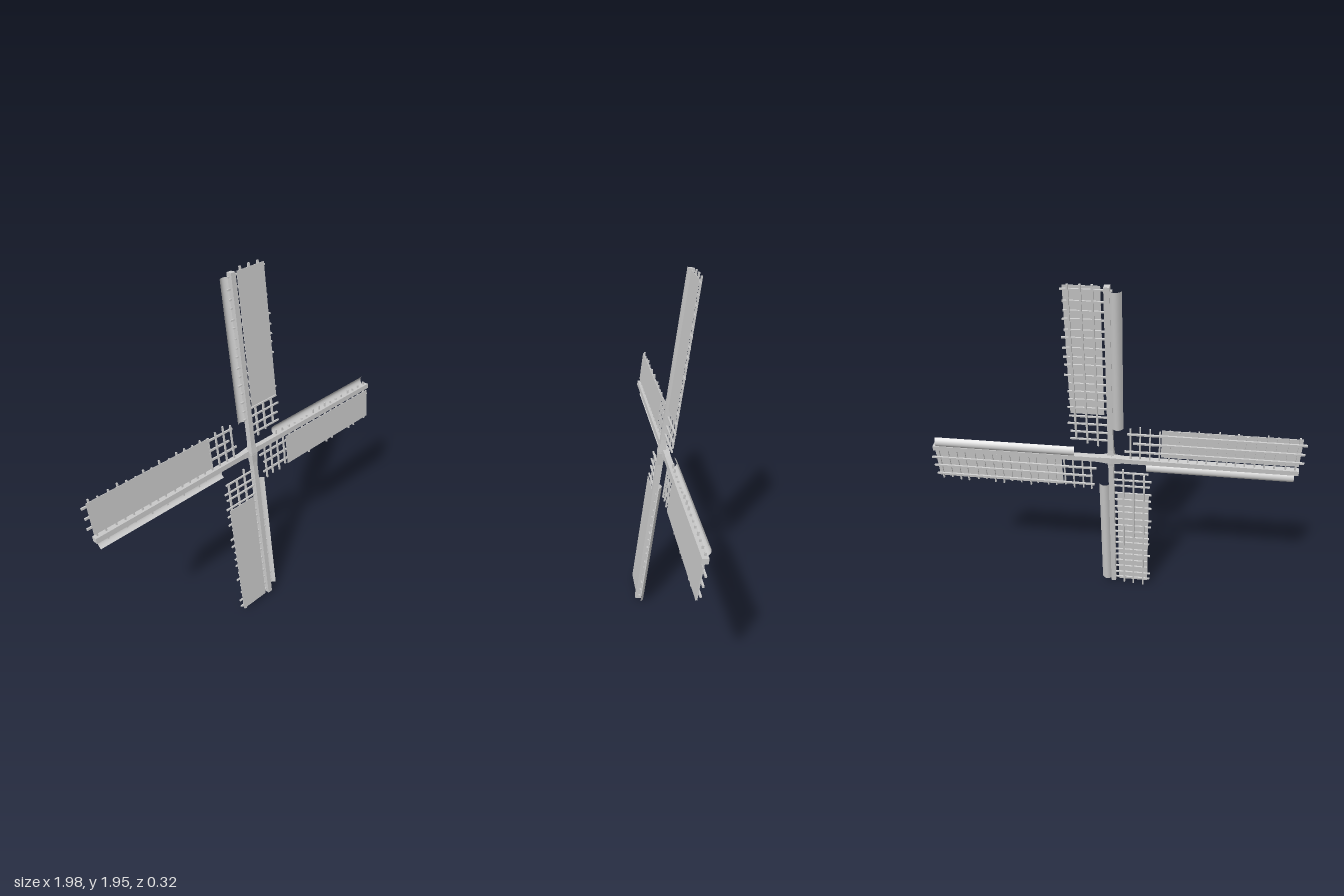
import * as THREE from 'three';

const grey = new THREE.MeshStandardMaterial({ color: 0xcccccc });
const greyThin = new THREE.MeshStandardMaterial({ color: 0xcccccc, side: THREE.DoubleSide });

// Small seeded generator for the uneven ends of the laths
function makeRandom(seed) {
  return () => (seed = (seed * 16807) % 2147483647) / 2147483647;
}

// Box given by its limits on each axis
function box(name, [x0, x1], [y0, y1], [z0, z1]) {
  const mesh = new THREE.Mesh(new THREE.BoxGeometry(x1 - x0, y1 - y0, z1 - z0), grey);
  mesh.position.set((x0 + x1) / 2, (y0 + y1) / 2, (z0 + z1) / 2);
  mesh.name = name;
  return mesh;
}

// Curved wind board: an arc swept along the arm, hollow towards the front
function windBoard() {
  const arc = new THREE.QuadraticBezierCurve(
    new THREE.Vector2(-0.01, -0.008),
    new THREE.Vector2(-0.04, -0.042),
    new THREE.Vector2(-0.068, -0.004));
  const geometry = new THREE.PlaneGeometry(1, 0.76, 10, 1);
  const p = geometry.attributes.position;
  for (let i = 0; i < p.count; i++) {
    const q = arc.getPoint(0.5 - p.getX(i));
    p.setXYZ(i, q.x, p.getY(i) + 0.57, q.y);
  }
  geometry.computeVertexNormals();
  const mesh = new THREE.Mesh(geometry, greyThin);
  mesh.name = 'windBoard';
  return mesh;
}

// One blade pointing up, with its cloth on +x
function blade(seed) {
  const random = makeRandom(seed);
  const group = new THREE.Group();
  group.add(box('arm', [-0.014, 0.014], [0, 0.97], [-0.016, 0.016]));
  group.add(windBoard());
  group.add(box('sailCloth', [0.03, 0.204], [0.265, 0.967], [0.003, 0.006]));

  const lattice = new THREE.Group();
  lattice.name = 'lattice';
  // Laths along the blade
  for (const x of [0.065, 0.12, 0.178]) {
    const start = 0.075 + random() * 0.045;
    const end = 0.975 + random() * 0.015;
    lattice.add(box('longLath', [x - 0.005, x + 0.005], [start, end], [-0.015, -0.006]));
  }
  // Laths across the blade, reaching over the wind board further out
  for (let i = 0; i < 18; i++) {
    const y = 0.105 + i * 0.0495 + (random() - 0.5) * 0.01;
    const inner = y < 0.2 ? 0.005 : -0.022 - random() * 0.018;
    const outer = 0.2 + random() * 0.022;
    lattice.add(box('crossLath', [inner, outer], [y - 0.004, y + 0.004], [-0.007, 0.002]));
  }
  group.add(lattice);
  return group;
}

// Tapered square block strengthening the arm near the centre
function stock() {
  const geometry = new THREE.CylinderGeometry(0.02, 0.029, 0.08, 4, 1);
  geometry.rotateY(Math.PI / 4);
  const flat = geometry.toNonIndexed();
  flat.computeVertexNormals();
  const mesh = new THREE.Mesh(flat, grey);
  mesh.position.y = 0.035;
  mesh.name = 'stock';
  return mesh;
}

export function createModel() {
  const model = new THREE.Group();
  const sails = new THREE.Group();
  sails.name = 'windmillSails';
  const names = ['topBlade', 'leftBlade', 'bottomBlade', 'rightBlade'];
  names.forEach((name, i) => {
    const b = blade(101 + i * 977);
    b.add(stock());
    b.name = name;
    b.rotation.z = -i * Math.PI / 2;
    // The horizontal pair crosses behind the vertical pair
    b.position.z = i % 2 ? -0.02 : 0;
    sails.add(b);
  });
  // The whole cross leans back
  sails.rotation.x = -0.147;
  sails.position.y = 0.982;
  model.add(sails);
  return model;
}
